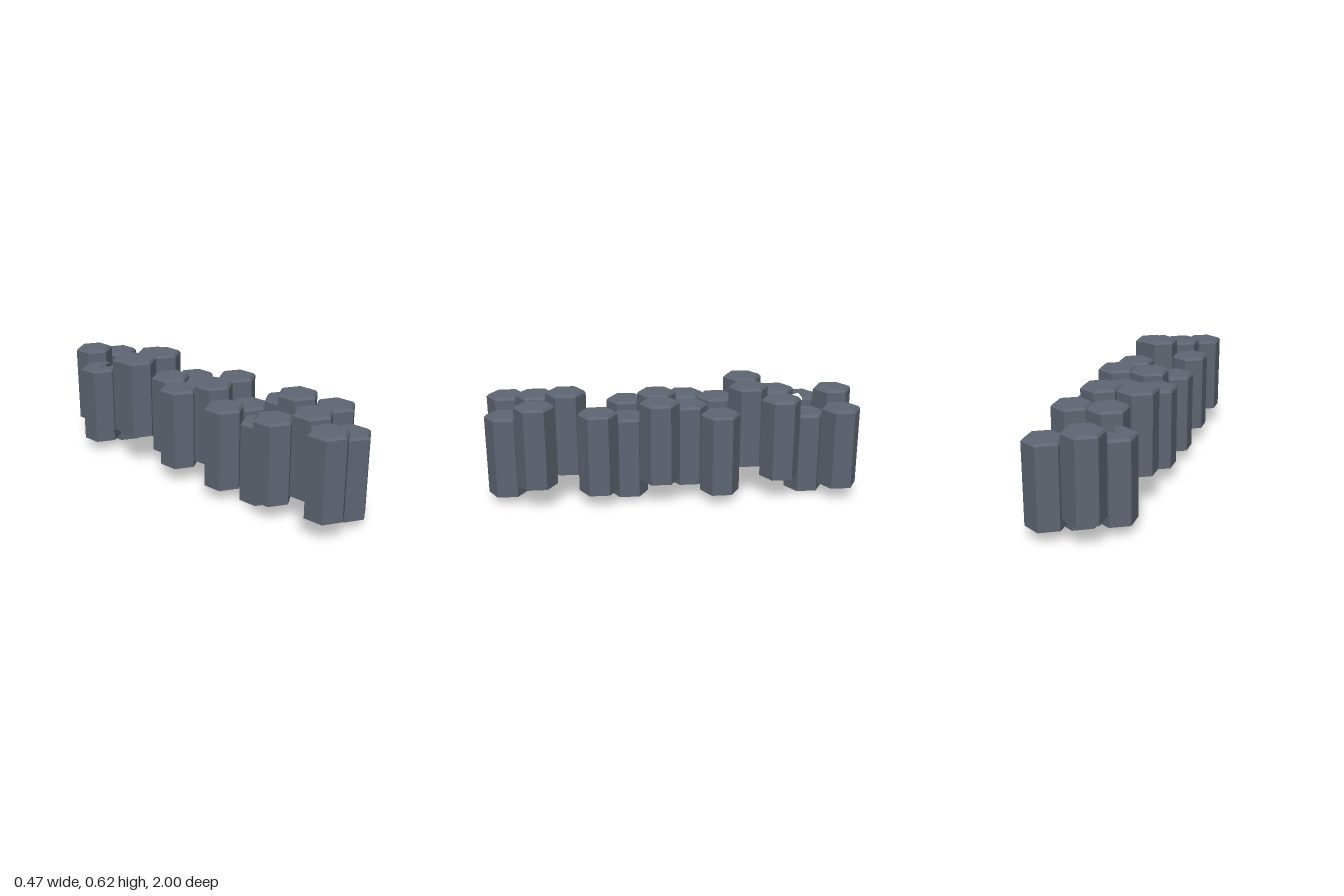
import * as THREE from 'three';

const RADIUS = 0.106;   // corner radius of each hexagonal column
const HEIGHT = 0.437;
const BEVEL = 0.013;
const ROW_STEP = 0.1625;

// One row per entry, back to front: [x, top] of the right and left column
const ROWS = [
  [[-0.05, 0.56], [0.143, 0.502]],
  [[-0.146, 0.497], [0.041, 0.452]],
  [[-0.05, 0.565], [0.137, 0.56]],
  [[-0.146, 0.615], [0.047, 0.61]],
  [[-0.05, 0.532], [0.145, 0.49]],
  [[-0.146, 0.525], [0.041, 0.517]],
  [[-0.05, 0.562], [0.137, 0.56]],
  [[-0.146, 0.502], [0.05, 0.463]],
  [[-0.05, 0.437], [0.137, 0.512]],
  [[-0.146, 0.524], [0.041, 0.604]],
  [[-0.05, 0.57], [0.137, 0.558]],
  [[-0.146, 0.543], [0.041, 0.485]],
];

// Hexagonal prism with a bevelled top; each edge is split at its middle.
// A broken column lacks one sixth of its top.
function columnGeometry(broken) {
  const ring = (radius, y) => Array.from({ length: 12 }, (_, k) => {
    const a = (k * Math.PI) / 6;
    const r = k % 2 ? radius : radius * Math.cos(Math.PI / 6);
    return new THREE.Vector3(r * Math.cos(a), y, r * Math.sin(a));
  });
  const foot = ring(RADIUS, 0);
  const shoulder = ring(RADIUS, HEIGHT - BEVEL);
  const rim = ring(RADIUS - BEVEL, HEIGHT);
  const bottom = new THREE.Vector3(0, 0, 0);
  const top = new THREE.Vector3(0, HEIGHT, 0);
  const points = [];
  const band = (lower, upper, k, n) =>
    points.push(lower[k], upper[k], upper[n], lower[k], upper[n], lower[n]);

  for (let k = 0; k < 12; k++) {
    const n = (k + 1) % 12;
    points.push(bottom, foot[k], foot[n]);
    band(foot, shoulder, k, n);
    if (broken && k < 2) continue;
    band(shoulder, rim, k, n);
    points.push(top, rim[n], rim[k]);
  }
  const geometry = new THREE.BufferGeometry().setFromPoints(points);
  geometry.computeVertexNormals();
  return geometry;
}

export function createModel() {
  const model = new THREE.Group();
  model.name = 'basaltColumns';
  const stone = new THREE.MeshStandardMaterial({ color: 0x5f6673 });
  stone.name = 'slate grey stone';

  const whole = columnGeometry(false);
  const chipped = columnGeometry(true);

  // Staggered double row of columns at uneven heights
  ROWS.forEach((row, i) => {
    row.forEach(([x, top], side) => {
      const broken = i === 1 && side === 0;
      const column = new THREE.Mesh(broken ? chipped : whole, stone);
      column.name = broken ? 'chippedColumn' : `${side ? 'left' : 'right'}Column${i + 1}`;
      column.position.set(x, top - HEIGHT, (i - 5.5) * ROW_STEP);
      model.add(column);
    });
  });
  return model;
}
